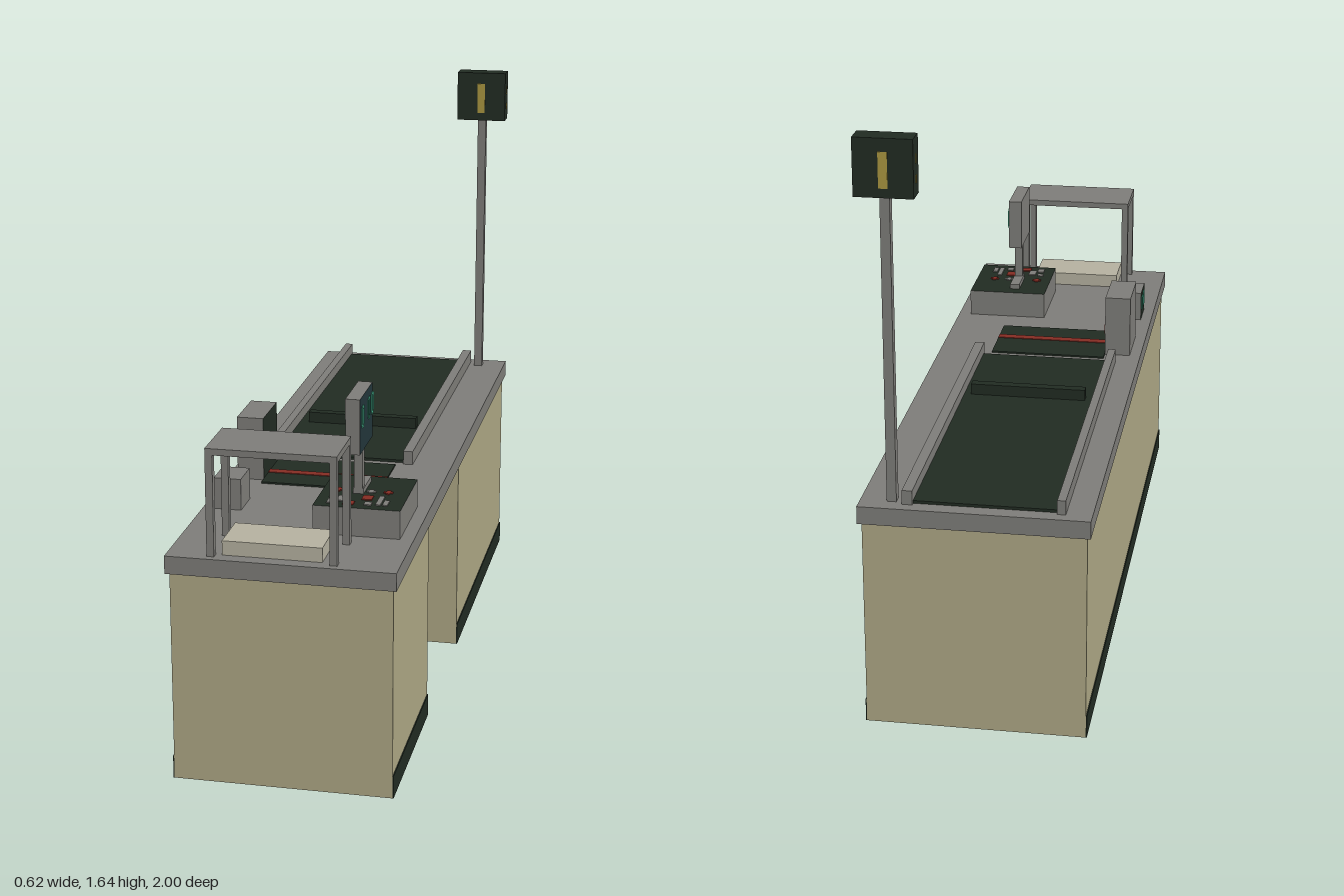
import * as THREE from 'three';

const makeMaterial = (name, color) => {
  const m = new THREE.MeshStandardMaterial({ color });
  m.name = name;
  return m;
};

export function createModel() {
  const beige = makeMaterial('beige panel', 0xaca684);
  const gray = makeMaterial('gray metal', 0x7d7c78);
  const dark = makeMaterial('dark green black', 0x212b22);
  const red = makeMaterial('red', 0x842c23);
  const teal = makeMaterial('teal display', 0x45b08c);
  const yellow = makeMaterial('yellow light', 0xa8953f);
  const pale = makeMaterial('pale paper', 0xb4b09f);
  const screen = makeMaterial('screen glass', 0x22353a);

  const model = new THREE.Group();
  model.name = 'checkoutCounter';
  const group = (name) => {
    const g = new THREE.Group();
    g.name = name;
    model.add(g);
    return g;
  };

  // Box from its limits; faces overrides single sides (0 +x, 1 -x, 2 +y, 3 -y, 4 +z, 5 -z)
  const box = (parent, name, [x0, x1], [y0, y1], [z0, z1], material, faces) => {
    const geometry = new THREE.BoxGeometry(x1 - x0, y1 - y0, z1 - z0);
    const materials = faces ? Array.from({ length: 6 }, (_, i) => faces[i] ?? material) : material;
    const mesh = new THREE.Mesh(geometry, materials);
    mesh.name = name;
    mesh.position.set((x0 + x1) / 2, (y0 + y1) / 2, (z0 + z1) / 2);
    parent.add(mesh);
    return mesh;
  };

  const TOP = 0.645;

  // Cabinets with a knee space open to +x
  const base = group('base');
  box(base, 'frontCabinet', [-0.3, 0.3], [0, 0.595], [0.46, 0.988], beige);
  box(base, 'backCabinet', [-0.3, 0.3], [0, 0.595], [-0.988, -0.06], beige);
  box(base, 'kneePanel', [-0.3, -0.24], [0, 0.595], [-0.06, 0.46], beige, { 0: dark });
  box(base, 'kickPlate', [-0.303, -0.3], [0, 0.065], [-0.988, 0.988], dark);
  for (const z of [[0.46, 0.988], [-0.988, -0.06]]) {
    box(base, 'kickPlate', [0.3, 0.303], [0, 0.065], z, dark);
  }
  box(base, 'countertop', [-0.31, 0.31], [0.595, TOP], [-1, 1], gray, { 3: dark });

  // Conveyor belt, rails and item divider
  const conveyor = group('conveyor');
  box(conveyor, 'belt', [-0.217, 0.167], [TOP, 0.653], [-0.957, 0.128], dark);
  box(conveyor, 'rail', [-0.24, -0.217], [TOP, 0.685], [-0.968, 0.14], gray);
  box(conveyor, 'rail', [0.167, 0.195], [TOP, 0.685], [-0.968, 0.14], gray);
  box(conveyor, 'divider', [-0.19, 0.147], [0.653, 0.685], [-0.205, -0.177], dark);

  // Flat and upright scanner
  const scanner = group('scanner');
  box(scanner, 'scannerPlate', [-0.2, 0.147], [TOP, 0.65], [0.16, 0.39], dark);
  box(scanner, 'scanLine', [-0.2, 0.147], [0.65, 0.652], [0.279, 0.306], red);
  box(scanner, 'scannerTower', [-0.277, -0.2], [TOP, 0.83], [0.197, 0.36], gray, { 0: dark });
  box(scanner, 'towerScanLine', [-0.2, -0.198], [0.714, 0.74], [0.197, 0.36], red);

  // Card terminal facing the customer at -x
  const terminal = group('cardTerminal');
  box(terminal, 'terminalBody', [-0.277, -0.2], [TOP, 0.735], [0.52, 0.62], gray, { 1: dark });
  for (const z of [0.535, 0.58]) {
    box(terminal, 'terminalReadout', [-0.28, -0.277], [0.675, 0.718], [z, z + 0.025], teal);
  }

  // Register with keys and display
  const register = group('register');
  box(register, 'registerBase', [0.033, 0.273], [TOP, 0.725], [0.492, 0.755], gray, { 2: dark });
  const keys = [
    [0.077, 0.62, red, 0.026, 0.011], [0.077, 0.62, red, 0.011, 0.026],
    [0.215, 0.62, red, 0.026, 0.011], [0.215, 0.62, red, 0.011, 0.026],
    [0.168, 0.62, gray, 0.026, 0.011], [0.168, 0.62, gray, 0.011, 0.026],
    [0.168, 0.672, red, 0.028, 0.034], [0.125, 0.72, red, 0.03, 0.026],
    [0.072, 0.672, gray, 0.018, 0.02], [0.1, 0.69, gray, 0.022, 0.04],
    [0.076, 0.715, gray, 0.02, 0.03], [0.206, 0.69, gray, 0.014, 0.07],
    [0.225, 0.705, gray, 0.014, 0.04], [0.178, 0.718, gray, 0.02, 0.024],
  ];
  for (const [x, z, material, w, d] of keys) {
    box(register, 'key', [x - w / 2, x + w / 2], [0.725, 0.728], [z - d / 2, z + d / 2], material);
  }
  box(register, 'displayFoot', [0.12, 0.15], [0.725, 0.74], [0.53, 0.64], gray);
  box(register, 'displayStem', [0.123, 0.147], [0.74, 0.88], [0.615, 0.64], gray);
  box(register, 'display', [0.115, 0.155], [0.86, 1.015], [0.543, 0.713], gray, { 0: screen });
  for (const z of [0.694, 0.61, 0.566]) {
    for (const edge of [z - 0.01, z - 0.032]) {
      box(register, 'displaySegment', [0.155, 0.157], [0.935, 0.985], [edge, edge + 0.01], teal);
    }
    for (const y of [0.927, 0.981]) {
      box(register, 'displaySegment', [0.155, 0.157], [y, y + 0.008], [z - 0.024, z - 0.008], teal);
    }
  }

  // Packing shelf with four legs over a stack of bags
  const shelf = group('packingShelf');
  box(shelf, 'shelfTop', [-0.2, 0.15], [0.925, 0.943], [0.803, 0.98], gray);
  for (const x of [-0.2, 0.13]) {
    for (const z of [0.803, 0.96]) {
      box(shelf, 'shelfLeg', [x, x + 0.02], [TOP, 0.925], [z, z + 0.02], gray);
    }
  }
  box(shelf, 'bagStack', [-0.163, 0.107], [TOP, 0.685], [0.823, 0.962], pale);

  // Lane light on a pole, with lit bars on every side
  const light = group('laneLight');
  box(light, 'pole', [0.212, 0.238], [TOP, 1.485], [-0.955, -0.928], gray);
  box(light, 'lightBox', [0.146, 0.302], [1.485, 1.64], [-0.973, -0.911], dark);
  for (const z of [[-0.911, -0.909], [-0.975, -0.973]]) {
    box(light, 'lightBar', [0.212, 0.236], [1.51, 1.605], z, yellow);
  }
  for (const x of [[0.302, 0.304], [0.144, 0.146]]) {
    box(light, 'sideMark', x, [1.57, 1.595], [-0.945, -0.939], yellow);
    box(light, 'sideMark', x, [1.52, 1.54], [-0.947, -0.937], yellow);
  }

  return model;
}
